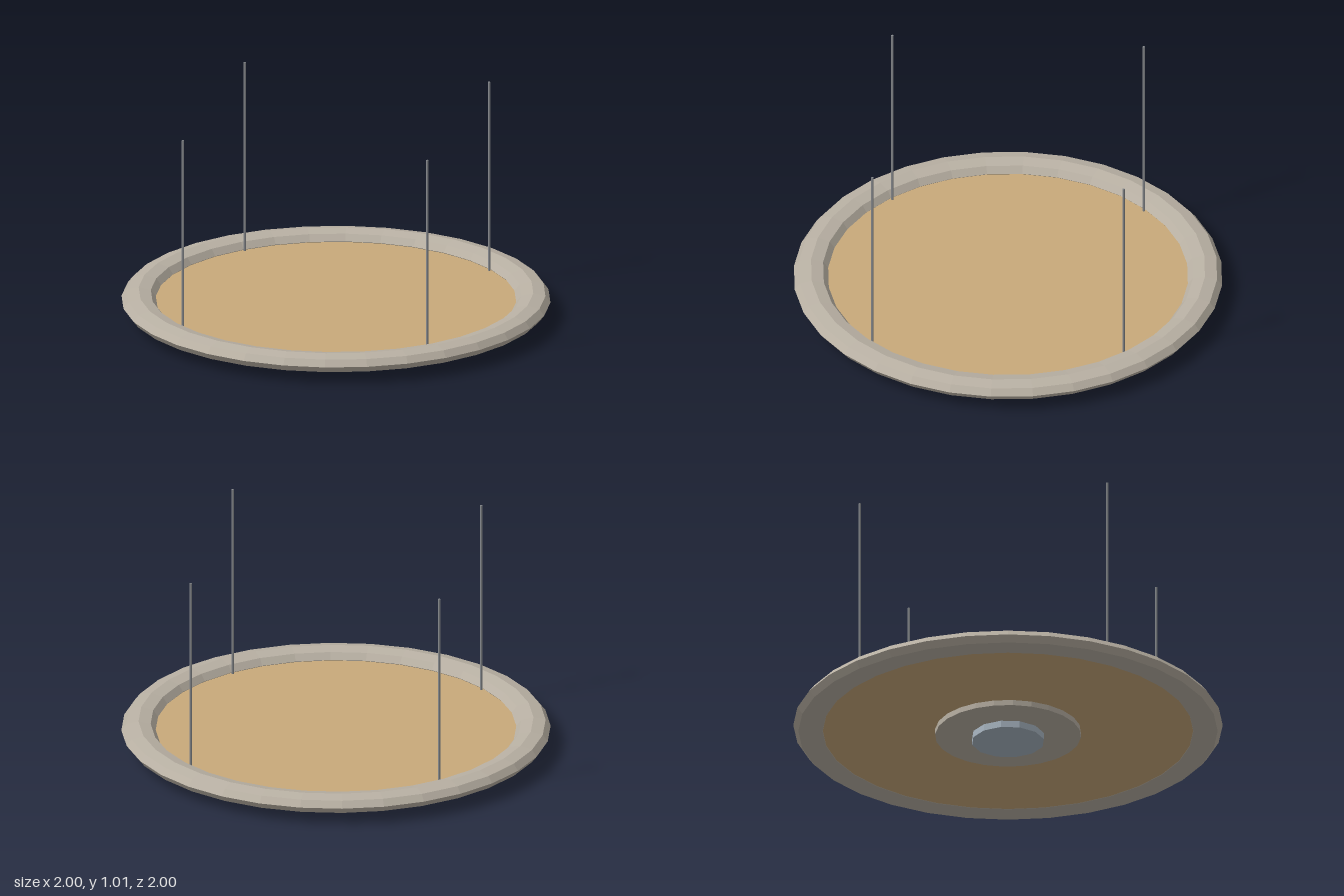
import * as THREE from 'three';

const mat = (name, color) => {
  const m = new THREE.MeshStandardMaterial({ color });
  m.name = name;
  m.flatShading = true;
  return m;
};

export function createModel() {
  const stone = mat('warm grey', 0xb8b0a3);
  const tan = mat('tan', 0xc8a97a);
  const steel = mat('blue grey', 0xa9b6c2);
  const cable = mat('cable grey', 0x85888c);

  const model = new THREE.Group();
  model.name = 'hangingDisc';

  const add = (name, geometry, material) => {
    const mesh = new THREE.Mesh(geometry, material);
    mesh.name = name;
    model.add(mesh);
    return mesh;
  };

  // Upright cylinder between two heights
  const disc = (name, radius, y0, y1, sides, material) => {
    const mesh = add(name, new THREE.CylinderGeometry(radius, radius, y1 - y0, sides), material);
    mesh.position.y = (y0 + y1) / 2;
    return mesh;
  };

  // Flattened octagonal rim
  const rim = new THREE.TorusGeometry(0.92, 0.08, 8, 32);
  rim.rotateX(-Math.PI / 2);
  rim.scale(1, 0.54, 1);
  rim.translate(0, 0.087, 0);
  add('rim', rim, stone);

  // Panel filling the rim, with a stepped mount below
  disc('panel', 0.867, 0.058, 0.084, 32, tan);
  disc('mountPlate', 0.34, 0.032, 0.06, 24, stone);
  disc('mountCap', 0.17, 0, 0.034, 12, steel);

  // Four suspension cables
  for (const x of [-1, 1]) {
    for (const z of [-1, 1]) {
      const rod = disc('cable', 0.006, 0.075, 1.01, 6, cable);
      rod.position.x = x * 0.587;
      rod.position.z = z * 0.587;
    }
  }
  return model;
}
